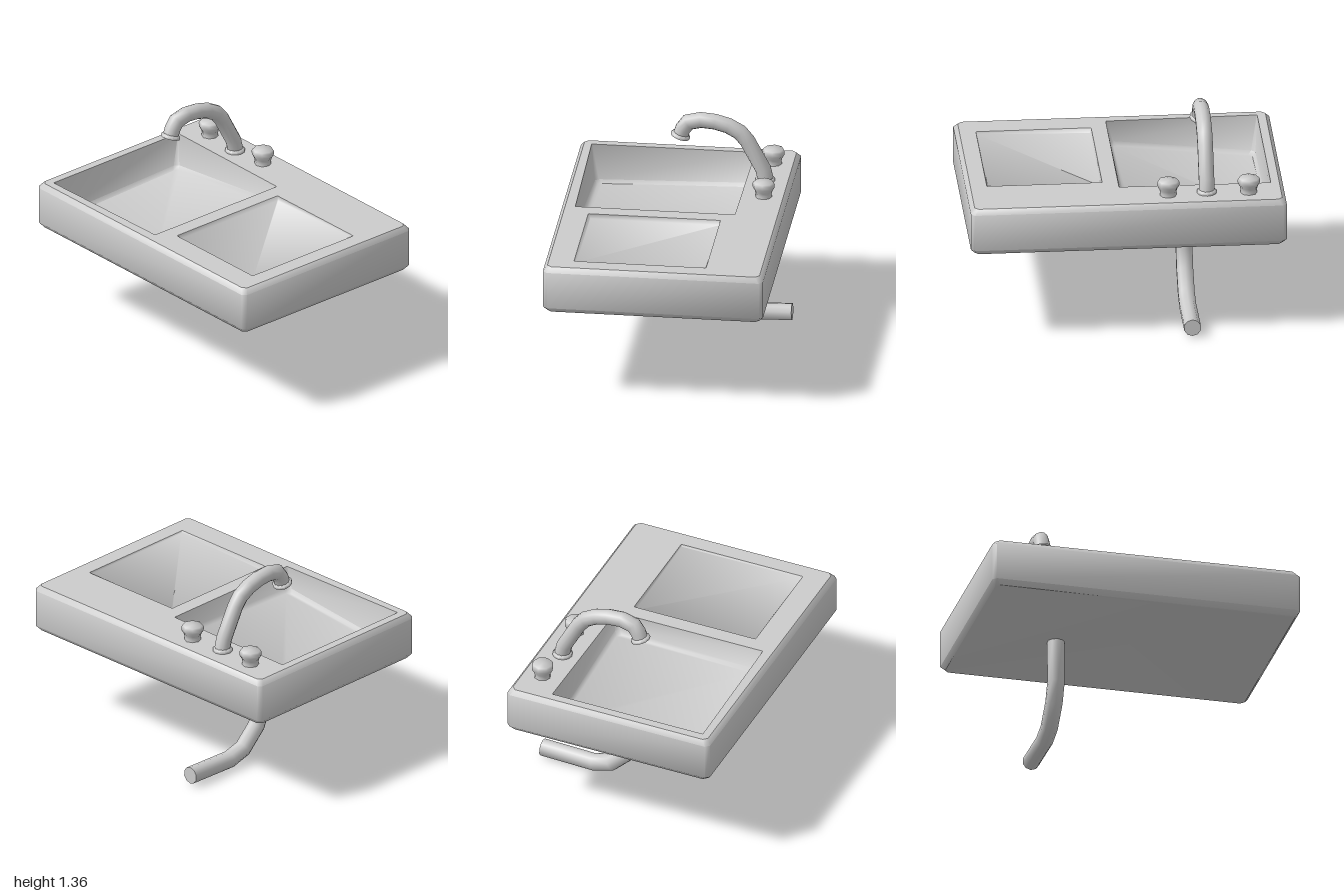
import * as THREE from 'three';
import { toCreasedNormals } from 'three/addons/utils/BufferGeometryUtils.js';

const material = new THREE.MeshStandardMaterial({ color: 0xcccccc });

// Skin a list of equal-length rings; caps are fans, so rings are convex.
function loft(rings, capStart, capEnd, crease = 0.9) {
  const n = rings[0].length, index = [];
  for (let r = 0; r < rings.length - 1; r++) {
    for (let i = 0; i < n; i++) {
      const j = (i + 1) % n, a = r * n, b = a + n;
      index.push(a + i, a + j, b + j, a + i, b + j, b + i);
    }
  }
  const last = (rings.length - 1) * n;
  for (let i = 1; i < n - 1; i++) {
    if (capStart) index.push(0, i + 1, i);
    if (capEnd) index.push(last, last + i, last + i + 1);
  }
  const g = new THREE.BufferGeometry().setFromPoints(rings.flat());
  g.setIndex(index);
  return toCreasedNormals(g, crease);
}

// Rectangle with cut corners, lying at height y and rising by slopes in x and z.
function rectRing(x0, x1, z0, z1, y, c, slopeX = 0, slopeZ = 0) {
  return [
    [x0 + c, z1], [x1 - c, z1], [x1, z1 - c], [x1, z0 + c],
    [x1 - c, z0], [x0 + c, z0], [x0, z0 + c], [x0, z1 - c],
  ].map(([x, z]) => new THREE.Vector3(x, y + slopeX * (x - x0) + slopeZ * (z - z0), z));
}

// Round pipe with mitred bends along a path in the plane z.
function pipe(path, z, radius, sides) {
  const pts = path.map(([x, y]) => new THREE.Vector3(x, y, z));
  const u = new THREE.Vector3(0, 0, 1);
  const rings = pts.map((p, k) => {
    const before = p.clone().sub(pts[Math.max(k - 1, 0)]).normalize();
    const after = pts[Math.min(k + 1, pts.length - 1)].clone().sub(p).normalize();
    const t = before.clone().add(after).normalize();
    const miter = 1 / t.dot(k ? before : after);
    const v = t.clone().cross(u);
    return Array.from({ length: sides }, (_, i) => {
      const a = ((i + 0.5) / sides) * Math.PI * 2;
      return p.clone()
        .addScaledVector(u, radius * Math.cos(a))
        .addScaledVector(v, radius * miter * Math.sin(a));
    });
  });
  return loft(rings, true, true, 1.0);
}

// Turned part from [radius, height] pairs.
function turned(profile, sides, crease) {
  const g = new THREE.LatheGeometry(profile.map(([r, y]) => new THREE.Vector2(r, y)), sides);
  return toCreasedNormals(g, crease);
}

export function createModel() {
  const group = new THREE.Group();
  const add = (name, geometry, x = 0, y = 0, z = 0) => {
    const mesh = new THREE.Mesh(geometry, material);
    mesh.name = name;
    mesh.position.set(x, y, z);
    group.add(mesh);
    return mesh;
  };

  // Bevelled counter block, open at the top
  const top = 0.92, bottom = 0.61, bevel = 0.033, inset = 0.026;
  const block = (y, d) => rectRing(-0.71 + d, 0.69 - d, -1 + d, 1 - d, y, 0.025);
  const topRing = block(top, inset);
  add('counterBody', loft([
    block(bottom, inset), block(bottom + bevel, 0), block(top - bevel, 0), topRing,
  ], true, false));

  // Sink basin: rim narrows to the front, bevelled floor falls to the back left
  const basinRim = rectRing(-0.635, 0.405, -0.92, 0.04, top, 0.004);
  for (const p of basinRim) p.x *= 1 - 0.025 * (p.z + 0.92);
  add('basin', loft([
    basinRim,
    rectRing(-0.61, 0.38, -0.905, 0.015, top - 0.235, 0.025, 0.03, 0.11),
    rectRing(-0.59, 0.36, -0.885, -0.005, top - 0.255, 0.025, 0.03, 0.11),
  ], false, true));

  // Shallow draining tray, deeper towards the basin
  const trayRim = rectRing(-0.525, 0.315, 0.14, 0.87, top, 0.004);
  add('drainTray', loft([
    trayRim, rectRing(-0.515, 0.31, 0.147, 0.865, top - 0.03, 0.004, 0, 0.025),
  ], false, true, 2));

  // Counter top with the two openings
  const flat = (ring) => ring.map((p) => new THREE.Vector2(p.x, -p.z));
  const topShape = new THREE.Shape(flat(topRing));
  topShape.holes.push(new THREE.Path(flat(basinRim)), new THREE.Path(flat(trayRim)));
  add('counterTop', new THREE.ShapeGeometry(topShape).rotateX(-Math.PI / 2), 0, top, 0);

  // Tap spout with a collar at each end
  add('spout', pipe([
    [0.525, 0.92], [0.506, 1.0], [0.406, 1.187], [0.36, 1.243], [0.285, 1.285],
    [0.2, 1.308], [0.11, 1.315], [0.03, 1.295], [-0.003, 1.25], [-0.02, 1.2],
  ], -0.505, 0.05, 12));
  const collar = [[0, 0], [0.063, 0], [0.063, 0.012], [0.05, 0.024], [0, 0.024]];
  add('spoutBase', turned(collar, 12, 0.9), 0.52, top, -0.505);
  add('spoutNozzle', turned(collar, 12, 0.9), -0.021, 1.197, -0.505).rotation.z = -0.31;

  // Faceted tap knobs
  for (const [name, z] of [['backKnob', -0.77], ['frontKnob', -0.26]]) {
    add(name, turned([
      [0.053, 0], [0.051, 0.02], [0.055, 0.038], [0.07, 0.065], [0.071, 0.088], [0.064, 0.1], [0, 0.1],
    ], 8, 1.4), 0.54, top, z);
  }

  // Drain pipe bending out to the side
  add('drainPipe', pipe([
    [0.06, 0.62], [0.055, 0.335], [0.108, 0.21], [0.23, 0.092], [0.35, 0.058], [0.705, 0.068],
  ], -0.4, 0.055, 10));

  return group;
}
